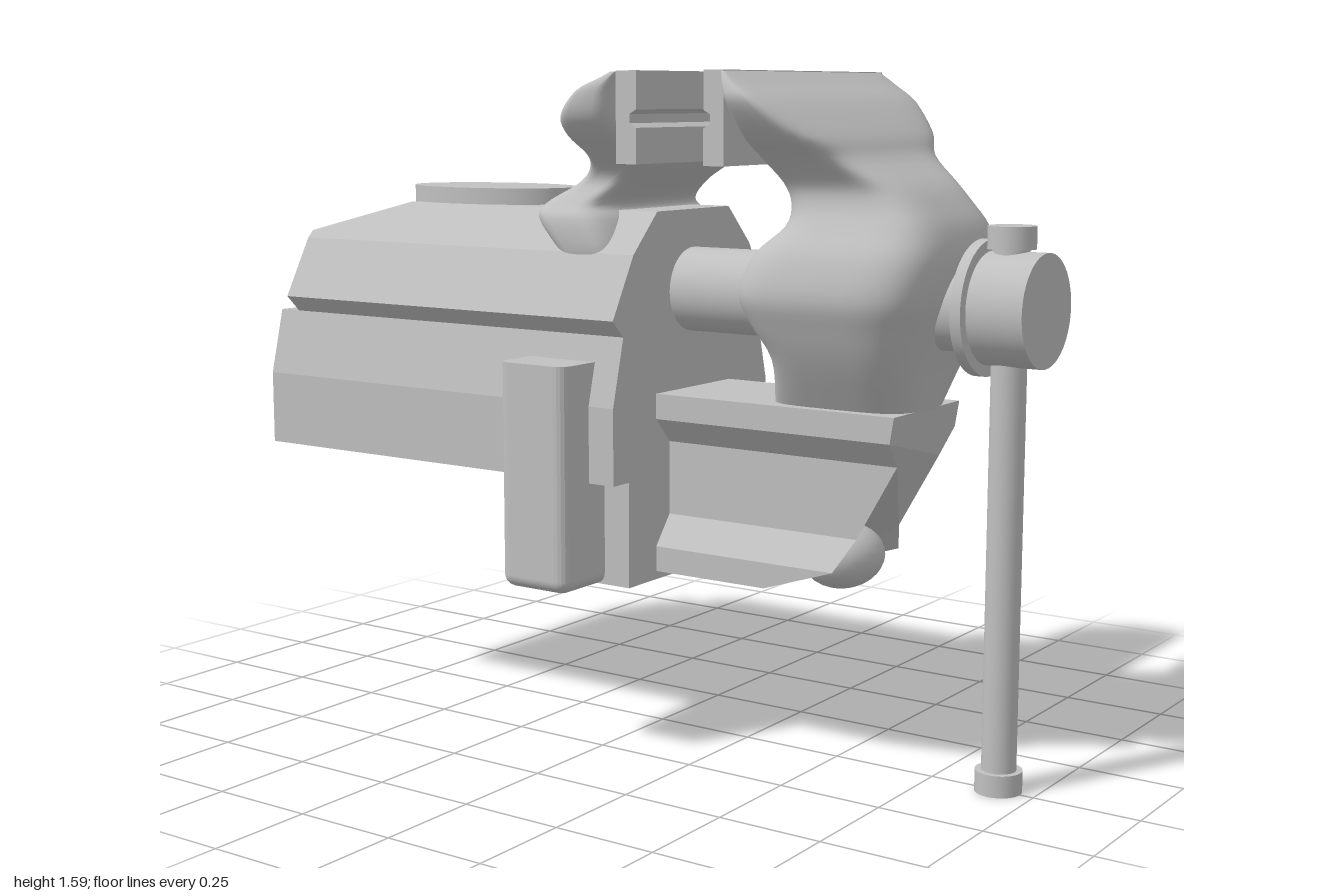
import * as THREE from 'three';

const iron = new THREE.MeshStandardMaterial({ color: 0xc0c0c0 });
iron.name = 'grey iron';

export function createModel() {
  const model = new THREE.Group();
  model.name = 'benchVise';

  const add = (name, geometry) => {
    const mesh = new THREE.Mesh(geometry, iron);
    mesh.name = name;
    model.add(mesh);
    return mesh;
  };

  // Outline from right-hand points, mirrored to the left
  const mirrored = (half) => new THREE.Shape([
    ...half.map(([x, y]) => new THREE.Vector2(x, y)),
    ...half.slice().reverse().map(([x, y]) => new THREE.Vector2(-x, y)),
  ]);

  const extrude = (shape, z0, z1, options = {}) =>
    new THREE.ExtrudeGeometry(shape, { depth: z1 - z0, bevelEnabled: false, ...options }).translate(0, 0, z0);

  // Move every vertex by a rule
  const reshape = (geometry, rule) => {
    const pos = geometry.attributes.position;
    const v = new THREE.Vector3();
    for (let i = 0; i < pos.count; i++) {
      rule(v.fromBufferAttribute(pos, i));
      pos.setXYZ(i, v.x, v.y, v.z);
    }
    geometry.computeVertexNormals();
    return geometry;
  };

  const rodZ = (name, r, z0, z1, y = 1.08) =>
    add(name, new THREE.CylinderGeometry(r, r, z1 - z0, 48).rotateX(Math.PI / 2).translate(0, y, (z0 + z1) / 2));
  const rodY = (name, r, y0, y1, z) =>
    add(name, new THREE.CylinderGeometry(r, r, y1 - y0, 32).translate(0, (y0 + y1) / 2, z));

  // Smooth casting through rounded-rectangle sections [y, halfWidth, zFront, zBack]
  const casting = (sections, power) => {
    const heights = new THREE.CatmullRomCurve3(sections.map(s => new THREE.Vector3(s[0], 0, 0)), false, 'catmullrom');
    const sizes = new THREE.CatmullRomCurve3(sections.map(s => new THREE.Vector3(s[1], s[2], s[3])), false, 'catmullrom');
    const rows = (sections.length - 1) * 4, n = 56, verts = [], index = [];
    const soft = (c) => Math.sign(c) * Math.abs(c) ** (2 / power);
    const ring = (t) => {
      const y = heights.getPoint(t).x, s = sizes.getPoint(t);
      for (let i = 0; i < n; i++) {
        const a = (i / n) * Math.PI * 2;
        verts.push(s.x * soft(Math.cos(a)), y, (s.y + s.z) / 2 + (s.y - s.z) / 2 * soft(Math.sin(a)));
      }
      return [0, y, (s.y + s.z) / 2];
    };
    for (let j = 0; j <= rows; j++) ring(j / rows);
    for (let j = 0; j < rows; j++) {
      for (let i = 0; i < n; i++) {
        const a = j * n + i, b = j * n + (i + 1) % n;
        index.push(a, a + n, b, b, a + n, b + n);
      }
    }
    for (const t of [0, 1]) {
      const start = verts.length / 3;
      verts.push(...ring(t));
      for (let i = 0; i < n; i++) {
        const a = start + i, b = start + (i + 1) % n;
        index.push(start + n, t ? b : a, t ? a : b);
      }
    }
    const g = new THREE.BufferGeometry();
    g.setAttribute('position', new THREE.Float32BufferAttribute(verts, 3));
    g.setIndex(index);
    g.computeVertexNormals();
    return g;
  };

  // Fixed body: faceted upper housing with a sloping tail
  const upper = [[0.285, 0.99], [0.325, 1.03], [0.245, 1.175], [0.15, 1.27]];
  add('upperHousing', extrude(mirrored(upper), -0.67, 0.09));
  add('housingTail', reshape(extrude(mirrored(upper), -0.94, -0.67), (v) => {
    if (v.z < -0.9 && v.y > 1.2) v.set(Math.sign(v.x) * 0.227, 1.193, v.z);
  }));

  // Lower housing with a dovetail channel open at the back
  add('lowerHousing', extrude(mirrored([
    [0.325, 0.65], [0.325, 0.83], [0.285, 0.99], [0.185, 0.99], [0.225, 0.88],
  ]), -1, -0.17));
  add('frontBlock', extrude(mirrored([
    [0.265, 0.4], [0.265, 0.65], [0.325, 0.65], [0.325, 0.83], [0.285, 0.99],
  ]), -0.17, 0.09));

  // Mounting flanges: rounded sides and bottom, flat top, bolt hole
  for (const side of [1, -1]) {
    const r = 0.03, hole = new THREE.Vector2(0.282, 0.525);
    const shape = new THREE.Shape();
    shape.moveTo(0.2, 0.4);
    shape.lineTo(0.42 - r, 0.4);
    shape.absarc(0.42 - r, 0.4 + r, r, -Math.PI / 2, 0, false);
    shape.lineTo(0.42, 0.96);
    shape.lineTo(0.2, 0.96);
    shape.closePath();
    const bolt = new THREE.Path();
    bolt.absarc(hole.x, hole.y, 0.036, 0, Math.PI * 2, true);
    shape.holes.push(bolt);
    const g = extrude(shape, -0.14, -0.01, {
      bevelEnabled: true, bevelSize: r - 0.002, bevelThickness: r, bevelOffset: -r + 0.002, bevelSegments: 5, curveSegments: 16,
    });
    reshape(g, (v) => {
      const dx = v.x - hole.x, dy = v.y - hole.y, d = Math.hypot(dx, dy);
      if (d < 0.075) {
        v.x = hole.x + dx / d * 0.036;
        v.y = hole.y + dy / d * 0.036;
      }
      v.y = Math.min(v.y, 0.93);
    });
    if (side < 0) g.rotateY(Math.PI).translate(0, 0, -0.15);
    add(side > 0 ? 'leftFlange' : 'rightFlange', g);
  }

  // Oval anvil pad
  add('anvilPad', new THREE.CylinderGeometry(1, 1, 0.05, 64).scale(0.15, 1, 0.235).translate(0, 1.285, -0.518));

  // Fixed and moving jaws
  add('fixedJaw', casting([
    [1.12, 0.23, 0.03, -0.12], [1.18, 0.25, 0.03, -0.165], [1.25, 0.25, 0.0, -0.225], [1.285, 0.225, -0.02, -0.215],
    [1.33, 0.195, 0.03, -0.14], [1.365, 0.205, 0.08, -0.1], [1.4, 0.25, 0.115, -0.077], [1.445, 0.315, 0.12, -0.09],
    [1.49, 0.355, 0.12, -0.08], [1.545, 0.365, 0.12, -0.02], [1.575, 0.355, 0.12, 0.06], [1.588, 0.345, 0.12, 0.09],
  ], 4));
  add('movingJaw', casting([
    [0.84, 0.125, 0.72, 0.365], [0.95, 0.195, 0.752, 0.385], [1.03, 0.235, 0.78, 0.345], [1.1, 0.26, 0.805, 0.322],
    [1.185, 0.245, 0.817, 0.355], [1.25, 0.21, 0.8, 0.425], [1.3, 0.188, 0.765, 0.432], [1.345, 0.192, 0.72, 0.415],
    [1.4, 0.245, 0.64, 0.39], [1.45, 0.315, 0.597, 0.385], [1.52, 0.365, 0.515, 0.385], [1.56, 0.36, 0.45, 0.385],
    [1.588, 0.345, 0.405, 0.385],
  ], 4));

  // Grooved jaw plates: profile in depth and height, swept across x
  for (const [name, zBack, zGrip] of [['fixedJawPlate', 0.115, 0.17], ['movingJawPlate', 0.4, 0.348]]) {
    const groove = zGrip + Math.sign(zBack - zGrip) * 0.018;
    const profile = new THREE.Shape([
      [zBack, 1.385], [zGrip, 1.385], [zGrip, 1.465], [groove, 1.475], [groove, 1.495], [zGrip, 1.505], [zGrip, 1.59], [zBack, 1.59],
    ].map(([z, y]) => new THREE.Vector2(-z, y)));
    add(name, extrude(profile, -0.345, 0.345).rotateY(Math.PI / 2));
  }

  // Slide bar under the moving jaw, front end cut back toward the bottom
  const frontEnd = [[0.42, 0.39], [0.48, 0.57], [0.55, 0.6], [0.725, 0.7], [0.785, 0.71], [0.845, 0.72]];
  const slideHalf = [[0.155, 0.42], [0.155, 0.48], [0.1, 0.55], [0.1, 0.725], [0.155, 0.785], [0.155, 0.845]];
  add('slideBar', reshape(extrude(mirrored(slideHalf), 0, 1), (v) => {
    if (v.z > 0.5) v.z = frontEnd.find(([y]) => Math.abs(y - v.y) < 0.001)[1];
  }));
  add('slideFillet', new THREE.SphereGeometry(1, 32, 16).scale(0.115, 0.075, 0.09).translate(0, 0.485, 0.51));

  // Screw, head and sliding handle
  rodZ('screw', 0.1, 0.0, 0.87);
  rodZ('screwCollar', 0.15, 0.845, 0.87);
  rodZ('screwHead', 0.125, 0.86, 1.0);
  rodZ('screwEnd', 0.1, -0.995, -0.9);
  rodY('handleBar', 0.039, 0.02, 1.23, 0.915);
  rodY('handleLowerCap', 0.053, 0, 0.05, 0.915);
  rodY('handleUpperCap', 0.053, 1.21, 1.26, 0.915);

  return model;
}
